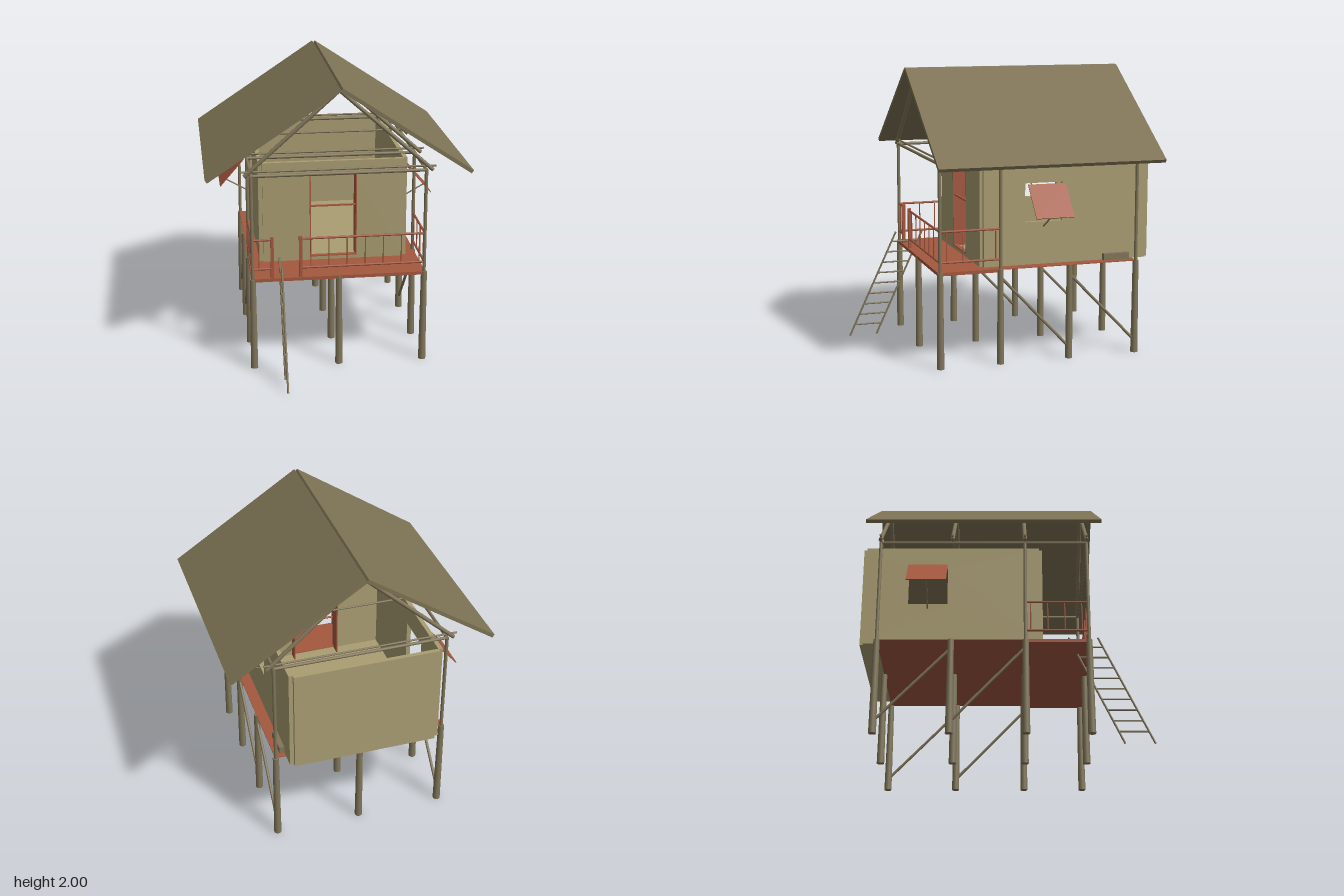
import * as THREE from 'three';

const mat = (name, color) => Object.assign(new THREE.MeshStandardMaterial({ color }), { name });

export function createModel() {
  const root = new THREE.Group();
  root.name = 'stiltHouse';
  const wood = mat('weathered wood', 0x81765a);
  const thatch = mat('roof brown', 0x7d7254);
  const wallMat = mat('tan wall', 0xaa9d72);
  const red = mat('red wood', 0xa4583f);

  const add = (name, geo, material) => {
    const m = new THREE.Mesh(geo, material);
    m.name = name;
    root.add(m);
    return m;
  };
  // box from its minimum and maximum corners
  const block = (name, material, x0, x1, y0, y1, z0, z1) => {
    const m = add(name, new THREE.BoxGeometry(x1 - x0, y1 - y0, z1 - z0), material);
    m.position.set((x0 + x1) / 2, (y0 + y1) / 2, (z0 + z1) / 2);
    return m;
  };
  // round pole between two points
  const pole = (name, material, a, b, r, rTop = r) => {
    const p = new THREE.Vector3(...a), q = new THREE.Vector3(...b);
    const d = q.clone().sub(p);
    const m = add(name, new THREE.CylinderGeometry(rTop, r, d.length(), 10), material);
    m.position.copy(p).add(q).multiplyScalar(0.5);
    m.quaternion.setFromUnitVectors(new THREE.Vector3(0, 1, 0), d.normalize());
    return m;
  };
  // wall panel with one rectangular opening, drawn in its own plane
  const panel = (u0, u1, v0, v1, h0, h1, k0, k1, depth) => {
    const rect = (P, a, b, c, d) => {
      const s = new P();
      s.moveTo(a, c); s.lineTo(b, c); s.lineTo(b, d); s.lineTo(a, d); s.closePath();
      return s;
    };
    const s = rect(THREE.Shape, u0, u1, v0, v1);
    s.holes.push(rect(THREE.Path, h0, h1, k0, k1));
    return new THREE.ExtrudeGeometry(s, { depth, bevelEnabled: false });
  };

  // stilts, upper posts and braces
  const rows = [0.555, 0.13, -0.37, -0.865];
  for (const z of rows) {
    for (const x of [-0.595, 0, 0.595]) pole('stilt', wood, [x, 0, z], [x, 0.664, z], 0.026, 0.021);
  }
  for (const x of [-0.595, 0.595]) {
    for (const z of [0.555, 0.13, -0.865]) pole('upperPost', wood, [x, 0.66, z], [x, 1.4, z], 0.012);
    pole('brace', wood, [x, 0.6, 0.12], [x, 0.09, -0.36], 0.01);
    pole('brace', wood, [x, 0.6, -0.37], [x, 0.09, -0.86], 0.01);
  }

  // floors
  block('porchFloor', red, -0.6, 0.6, 0.645, 0.668, 0.125, 0.57);
  block('houseFloor', red, -0.6, 0.6, 0.661, 0.667, -0.865, 0.125);
  block('roomFloor', wallMat, -0.495, 0.495, 0.668, 0.69, -0.965, 0.225);

  // walls: end walls sit slightly inside the side walls' corners
  block('backWall', wallMat, -0.497, 0.497, 0.668, 1.395, -0.99, -0.96);
  const front = panel(-0.497, 0.497, 0.668, 1.395, -0.165, 0.165, 0.695, 1.295, 0.03);
  add('frontWall', front, wallMat).position.z = 0.22;
  for (const s of [1, -1]) {
    // each side's window mirrors the other about the middle of the room
    const wz = -0.37 + s * 0.167;
    const g = panel(-0.966, 0.228, 0.668, 1.395, wz - 0.135, wz + 0.135, 0.965, 1.235, 0.03);
    g.rotateY(-Math.PI / 2);
    add('sideWall', g, wallMat).position.x = s > 0 ? 0.525 : -0.495;

    const shutter = add('shutter', new THREE.BoxGeometry(0.006, 0.272, 0.27), red);
    shutter.position.set(s * 0.675, 1.131, wz);
    shutter.rotation.z = s * Math.atan2(0.18, 0.207);
    pole('shutterProp', wood, [s * 0.52, 0.93, wz], [s * 0.73, 1.05, wz], 0.005);
  }
  block('wallBox', wood, 0.52, 0.56, 0.668, 0.714, -0.83, -0.64);

  // door frame
  for (const s of [-1, 1]) block('doorJamb', red, s * 0.163 - 0.004, s * 0.163 + 0.004, 0.69, 1.298, 0.15, 0.252);
  block('doorHead', red, -0.167, 0.167, 1.29, 1.298, 0.15, 0.252);
  block('doorSill', red, -0.167, 0.167, 0.692, 0.699, 0.22, 0.252);
  block('doorBar', red, -0.165, 0.165, 1.06, 1.07, 0.225, 0.24);

  // porch railings
  const rail = (a, b) => {
    for (const y of [0.735, 0.945]) pole('rail', red, [a[0], y, a[1]], [b[0], y, b[1]], 0.008);
  };
  const baluster = (x, z) => pole('baluster', red, [x, 0.735, z], [x, 0.935, z], 0.004);
  rail([-0.595, 0.555], [-0.46, 0.555]);
  rail([-0.265, 0.555], [0.595, 0.555]);
  for (const x of [-0.46, -0.265]) block('newelPost', red, x - 0.011, x + 0.011, 0.665, 0.962, 0.544, 0.566);
  baluster(-0.55, 0.555);
  for (let i = 0; i < 7; i++) baluster(-0.195 + i * 0.1255, 0.555);
  for (const x of [-0.595, 0.595]) {
    rail([x, 0.555], [x, 0.13]);
    for (let i = 0; i < 4; i++) baluster(x, 0.51 - i * 0.115);
  }

  // ladder, standing edge-on to the porch
  for (const z of [0.985, 0.785]) pole('ladderRail', wood, [-0.4, 0.003, z], [-0.4, 0.768, z - 0.357], 0.007);
  for (let i = 0; i < 9; i++) {
    const y = 0.085 + i * 0.0765, z = 0.985 - y * 0.467;
    pole('rung', wood, [-0.4, y, z], [-0.4, y, z - 0.2], 0.006);
  }

  // roof frame
  for (const x of [-0.595, 0.595]) pole('eaveBeam', wood, [x, 1.4, 0.565], [x, 1.4, -0.875], 0.011);
  for (const z of [0.555, 0.13, -0.865]) pole('crossBeam', wood, [-0.6, 1.4, z], [0.6, 1.4, z], 0.011);
  for (const z of rows) {
    pole('tieBeam', wood, [-0.66, 1.43, z], [0.66, 1.43, z], 0.007);
    for (const s of [-1, 1]) pole('rafter', wood, [s * 0.64, 1.4, z], [0, 1.97, z], 0.014);
  }

  // roof slopes meeting in a shallow notch at the ridge
  for (const s of [-1, 1]) {
    const slope = add('roofSlope', new THREE.BoxGeometry(1.07, 0.026, 1.58), thatch);
    slope.position.set(s * 0.449, 1.696, -0.15);
    slope.rotation.z = -s * Math.atan2(0.59, 0.89);
  }
  return root;
}
